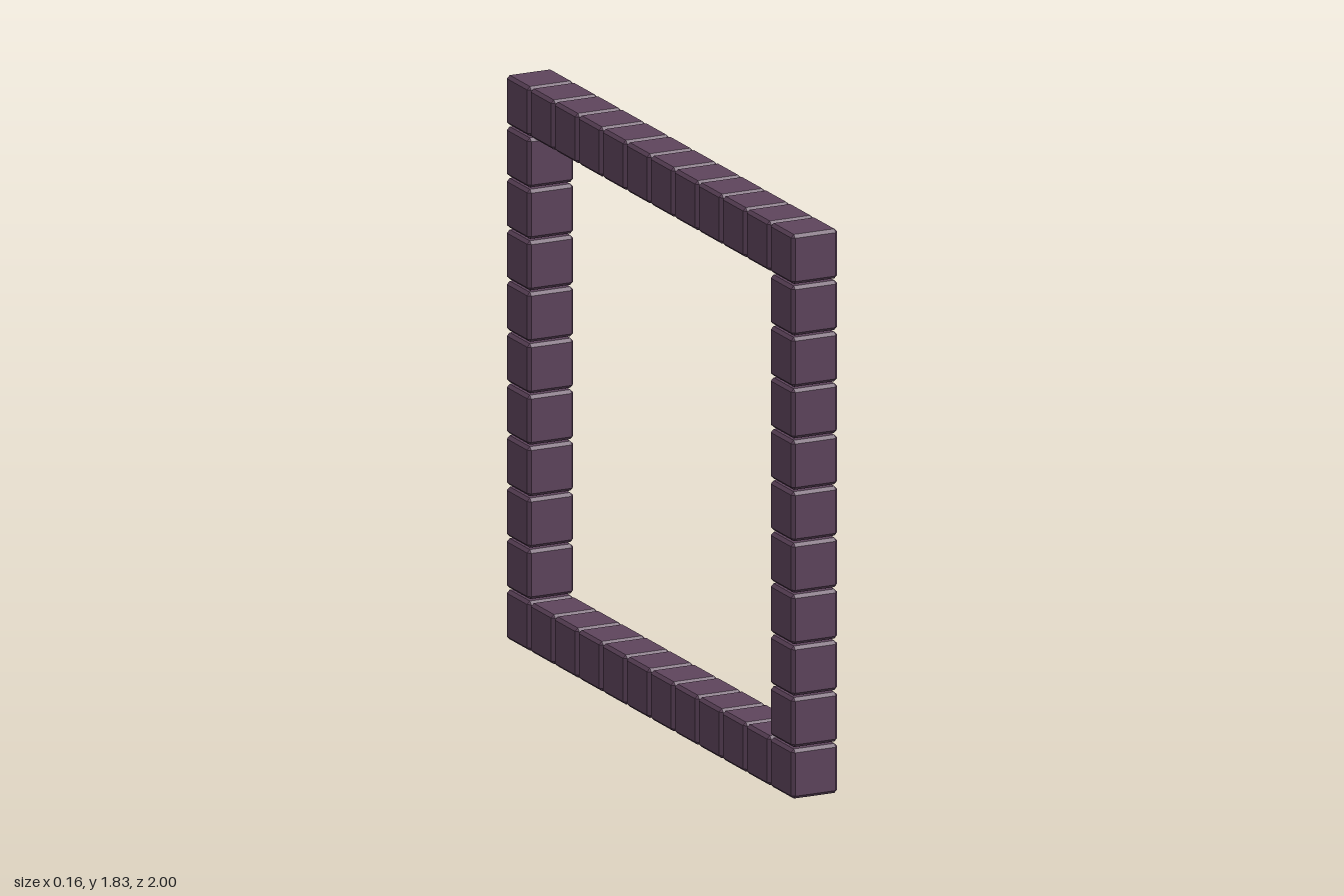
import * as THREE from 'three';
import { ConvexGeometry } from 'three/addons/geometries/ConvexGeometry.js';

const SIZE = 0.161;              // edge of one block
const COLUMNS = 12;              // blocks along z
const ROWS = 11;                 // blocks along y
const PITCH = (2 - SIZE) / (COLUMNS - 1);
const BEVEL = 0.01;

// Cube with flat chamfered edges and corners
function chamferedCube(size, bevel) {
  const h = size / 2, k = h - bevel;
  const points = [];
  for (const x of [-1, 1]) for (const y of [-1, 1]) for (const z of [-1, 1]) {
    points.push(
      new THREE.Vector3(x * h, y * k, z * k),
      new THREE.Vector3(x * k, y * h, z * k),
      new THREE.Vector3(x * k, y * k, z * h)
    );
  }
  return new ConvexGeometry(points);
}

export function createModel() {
  const model = new THREE.Group();
  model.name = 'blockFrame';
  const geometry = chamferedCube(SIZE, BEVEL);
  const material = new THREE.MeshStandardMaterial({ color: 0x5e445c, flatShading: true });

  const addSide = (name) => {
    const side = new THREE.Group();
    side.name = name;
    model.add(side);
    return side;
  };
  const addBlock = (side, column, row) => {
    const block = new THREE.Mesh(geometry, material);
    block.name = 'block';
    block.position.set(0, SIZE / 2 + row * PITCH, (column - (COLUMNS - 1) / 2) * PITCH);
    side.add(block);
  };

  // Bottom and top beams, corners included
  for (const [name, row] of [['bottomBeam', 0], ['topBeam', ROWS - 1]]) {
    const beam = addSide(name);
    for (let c = 0; c < COLUMNS; c++) addBlock(beam, c, row);
  }

  // Back and front posts between the beams
  for (const [name, column] of [['backPost', 0], ['frontPost', COLUMNS - 1]]) {
    const post = addSide(name);
    for (let r = 1; r < ROWS - 1; r++) addBlock(post, column, r);
  }
  return model;
}
